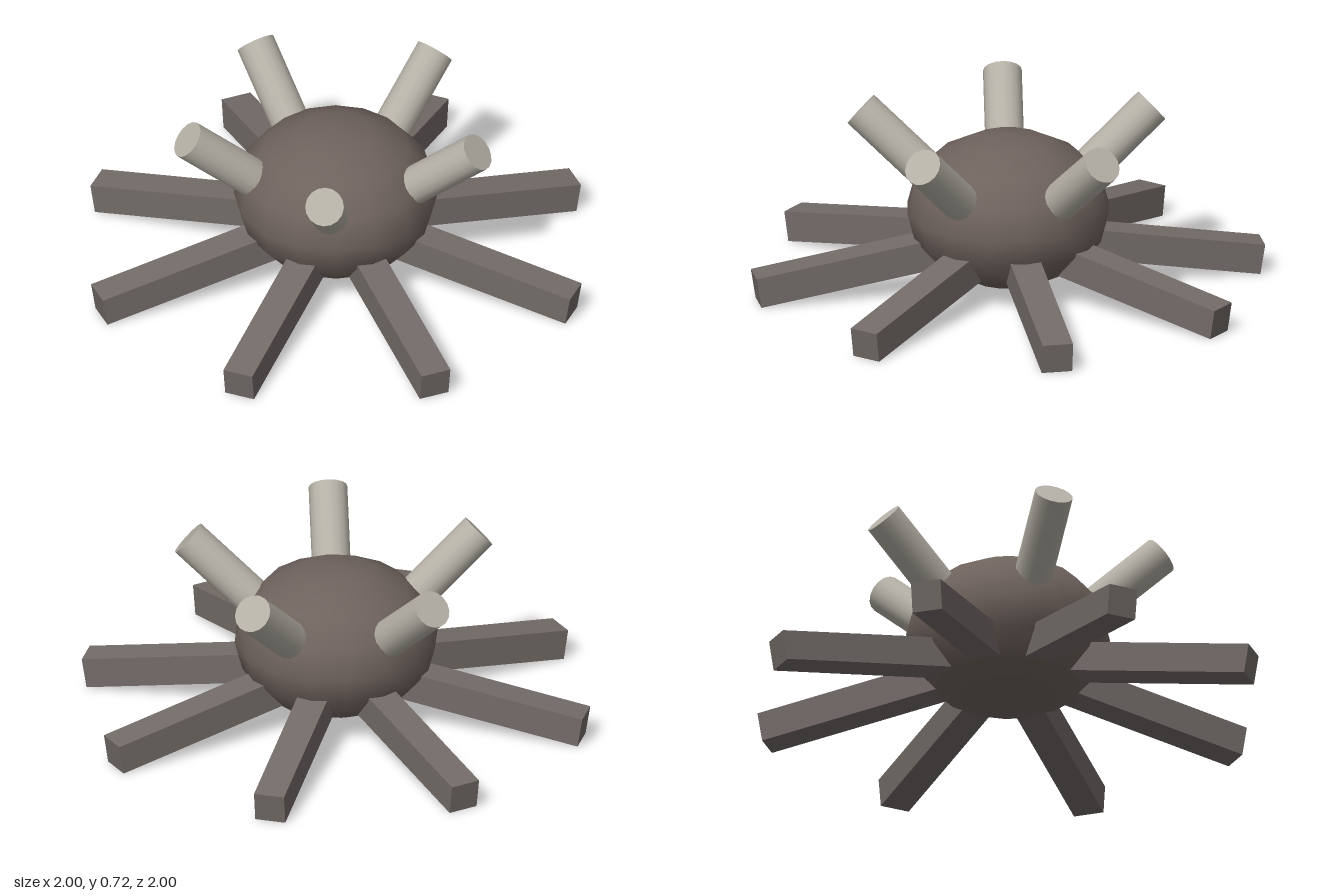
import * as THREE from 'three';

export function createModel() {
  const model = new THREE.Group();
  const bodyMat = new THREE.MeshStandardMaterial({ color: 0x6e625d });
  const legMat = new THREE.MeshStandardMaterial({ color: 0x736b68 });
  const hornMat = new THREE.MeshStandardMaterial({ color: 0xb5b0a6 });

  // A part running outward along +x, turned about the vertical axis
  function radialPart(name, geometry, material, angle) {
    const mesh = new THREE.Mesh(geometry, material);
    mesh.name = name;
    mesh.rotation.y = angle;
    model.add(mesh);
  }

  // Squashed round body
  const body = new THREE.Mesh(new THREE.SphereGeometry(0.395, 16, 8).scale(1, 0.76, 1), bodyMat);
  body.name = 'body';
  body.position.y = 0.32;
  model.add(body);

  // Eight square legs sloping down to the ground
  const legLength = 0.8, legSize = 0.12, legTilt = 0.16;
  const leg = new THREE.BoxGeometry(legLength, legSize, legSize)
    .translate(-legLength / 2, legSize / 2, 0) // outer bottom edge at the origin
    .rotateZ(-legTilt)
    .translate(0.981, 0, 0);
  for (let i = 0; i < 8; i++) radialPart('leg' + (i + 1), leg, legMat, (i * Math.PI) / 4);

  // Five round horns slanting up and out
  const hornLength = 0.5;
  const horn = new THREE.CylinderGeometry(0.075, 0.075, hornLength, 16)
    .translate(0, -hornLength / 2, 0) // outer end at the origin
    .rotateZ(-0.86)
    .translate(0.591, 0.668, 0);
  for (let i = 0; i < 5; i++) radialPart('horn' + (i + 1), horn, hornMat, (i * Math.PI * 2) / 5);

  return model;
}
